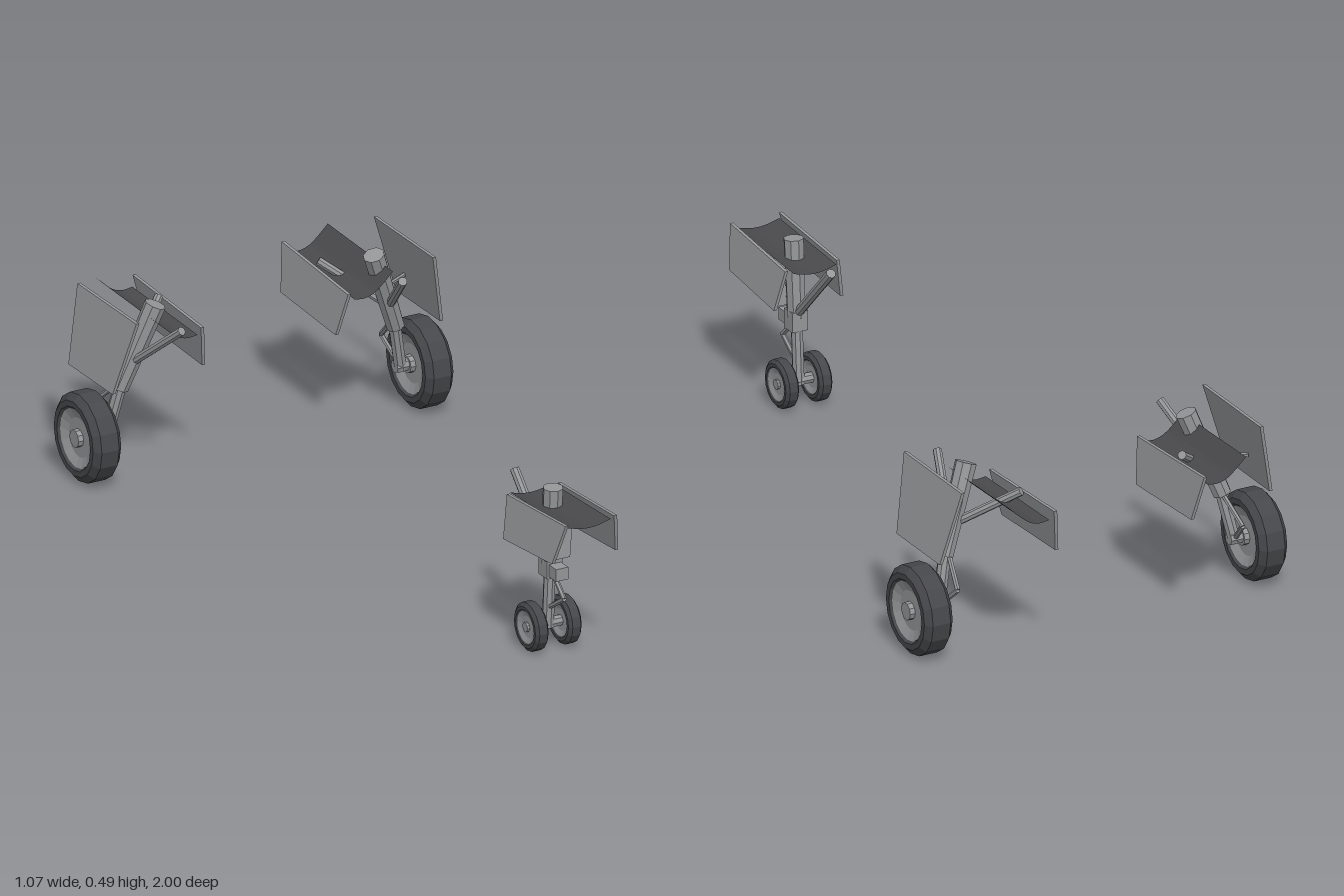
import * as THREE from 'three';

const mat = (name, color, extra = {}) => {
  const m = new THREE.MeshStandardMaterial({ color, flatShading: true, ...extra });
  m.name = name;
  return m;
};

export function createModel() {
  const root = new THREE.Group();
  root.name = 'landingGear';
  const doorGrey = mat('door grey', 0x97999b, { side: THREE.DoubleSide });
  const metal = mat('strut metal', 0x949698);
  const rubber = mat('tyre rubber', 0x46474a);
  const bay = mat('bay panel dark grey', 0x4a4a4d, { side: THREE.DoubleSide });

  const add = (parent, name, geo, material) => {
    const m = new THREE.Mesh(geo, material);
    m.name = name;
    parent.add(m);
    return m;
  };

  // straight rod from a to b
  const rod = (parent, name, a, b, r, sides = 8, rTop = r) => {
    const p = new THREE.Vector3(...a), q = new THREE.Vector3(...b);
    const d = q.clone().sub(p);
    const m = add(parent, name, new THREE.CylinderGeometry(rTop, r, d.length(), sides), metal);
    m.position.copy(p).add(q).multiplyScalar(0.5);
    m.quaternion.setFromUnitVectors(new THREE.Vector3(0, 1, 0), d.normalize());
    return m;
  };

  // tyre, dished hub and axle cap, turned about x
  const wheel = (parent, x, y, z, r, w) => {
    const g = new THREE.Group();
    g.name = 'wheel';
    const h = w / 2;
    const turned = (pts) => new THREE.LatheGeometry(pts.map((p) => new THREE.Vector2(...p)), 16);
    add(g, 'tyre', turned([[r * 0.66, -h * 0.8], [r * 0.72, -h], [r * 0.85, -h], [r, -h * 0.62],
      [r, h * 0.62], [r * 0.85, h], [r * 0.72, h], [r * 0.66, h * 0.8]]), rubber);
    add(g, 'hub', turned([[0, -h * 0.6], [r * 0.45, -h * 0.6], [r * 0.67, -h * 0.85],
      [r * 0.67, h * 0.85], [r * 0.45, h * 0.6], [0, h * 0.6]]), metal);
    add(g, 'axleCap', new THREE.CylinderGeometry(r * 0.2, r * 0.2, w * 0.96, 10), metal);
    g.rotation.z = Math.PI / 2;
    g.position.set(x, y, z);
    parent.add(g);
  };

  // thin door: outline in [z, y], x leaning from xTop to xBottom
  const door = (parent, name, outline, xTop, xBottom, t = 0.009) => {
    const ys = outline.map((p) => p[1]);
    const hi = Math.max(...ys), lo = Math.min(...ys);
    const shape = new THREE.Shape(outline.map(([z, y]) => new THREE.Vector2(-z, y)));
    const geo = new THREE.ExtrudeGeometry(shape, { depth: t, bevelEnabled: false });
    geo.translate(0, 0, -t / 2);
    geo.rotateY(Math.PI / 2);
    const p = geo.attributes.position;
    for (let i = 0; i < p.count; i++) {
      const k = (hi - p.getY(i)) / (hi - lo);
      p.setX(i, p.getX(i) + xTop + (xBottom - xTop) * k);
    }
    geo.computeVertexNormals();
    add(parent, name, geo, doorGrey);
  };

  // curved bay skin: cross-section in [x, y], run along z with a rise
  const skin = (parent, section, z0, z1, rise) => {
    const curve = new THREE.SplineCurve(section.map((p) => new THREE.Vector2(...p)));
    const geo = new THREE.PlaneGeometry(1, 1, 10, 1);
    const p = geo.attributes.position;
    for (let i = 0; i < p.count; i++) {
      const v = p.getY(i) + 0.5;
      const c = curve.getPoint(p.getX(i) + 0.5);
      p.setXYZ(i, c.x, c.y + rise * v, z0 + (z1 - z0) * v);
    }
    geo.computeVertexNormals();
    add(parent, 'bayPanel', geo, bay);
  };

  // nose gear
  const nose = new THREE.Group();
  nose.name = 'noseGear';
  root.add(nose);
  rod(nose, 'strut', [0, 0.24, 0.785], [0, 0.455, 0.8], 0.025, 8, 0.027);
  rod(nose, 'piston', [0, 0.055, 0.773], [0, 0.25, 0.785], 0.016);
  rod(nose, 'axle', [-0.05, 0.065, 0.773], [0.05, 0.065, 0.773], 0.015);
  rod(nose, 'dragBrace', [0, 0.26, 0.77], [0, 0.432, 0.6], 0.013);
  rod(nose, 'upperTorqueLink', [0, 0.215, 0.8], [0, 0.163, 0.858], 0.007, 6);
  rod(nose, 'lowerTorqueLink', [0, 0.163, 0.858], [0, 0.115, 0.785], 0.007, 6);
  add(nose, 'collar', new THREE.BoxGeometry(0.046, 0.055, 0.046), metal).position.set(0, 0.232, 0.787);
  add(nose, 'steeringBox', new THREE.BoxGeometry(0.036, 0.034, 0.04), metal).position.set(0, 0.228, 0.828);
  const plate = new THREE.Shape([[-0.036, 0.262], [0.036, 0.262], [0.046, 0.4], [-0.046, 0.4]]
    .map((p) => new THREE.Vector2(...p)));
  add(nose, 'strutDoor', new THREE.ExtrudeGeometry(plate, { depth: 0.008, bevelEnabled: false }), doorGrey)
    .position.z = 0.818;
  skin(nose, [[-0.063, 0.411], [-0.03, 0.402], [0, 0.399], [0.03, 0.402], [0.063, 0.411]], 0.685, 0.99, 0.013);
  for (const s of [-1, 1]) {
    wheel(nose, s * 0.049, 0.066, 0.773, 0.066, 0.039);
    door(nose, s > 0 ? 'leftNoseDoor' : 'rightNoseDoor',
      [[1, 0.435], [0.7, 0.415], [0.72, 0.302], [0.967, 0.322]], s * 0.072, s * 0.098);
  }

  // main gear, one each side
  for (const s of [-1, 1]) {
    const main = new THREE.Group();
    main.name = s > 0 ? 'leftMainGear' : 'rightMainGear';
    root.add(main);
    const r = (name, a, b, ...rest) =>
      rod(main, name, [s * a[0], a[1], a[2]], [s * b[0], b[1], b[2]], ...rest);
    r('strut', [0.41, 0.245, -0.743], [0.324, 0.476, -0.705], 0.025, 8, 0.029);
    r('piston', [0.436, 0.112, -0.762], [0.405, 0.26, -0.741], 0.017);
    r('axle', [0.418, 0.122, -0.762], [0.48, 0.122, -0.762], 0.018);
    r('dragBrace', [0.378, 0.33, -0.71], [0.328, 0.455, -0.56], 0.012);
    r('sideBrace', [0.37, 0.325, -0.73], [0.237, 0.428, -0.842], 0.012);
    r('doorLink', [0.36, 0.363, -0.73], [0.462, 0.36, -0.79], 0.006, 6);
    r('upperTorqueLink', [0.405, 0.245, -0.765], [0.42, 0.185, -0.835], 0.007, 6);
    r('lowerTorqueLink', [0.42, 0.185, -0.835], [0.433, 0.13, -0.775], 0.007, 6);
    wheel(main, s * 0.493, 0.121, -0.762, 0.121, 0.083);
    door(main, 'outerDoor',
      [[-0.592, 0.487], [-0.9, 0.487], [-0.866, 0.283], [-0.636, 0.283]], s * 0.44, s * 0.486);
    door(main, 'innerDoor',
      [[-0.645, 0.41], [-0.997, 0.428], [-0.965, 0.302], [-0.675, 0.29]], s * 0.221, s * 0.198);
    const section = [[0.233, 0.393], [0.265, 0.39], [0.3, 0.404], [0.347, 0.447]];
    skin(main, section.map(([x, y]) => [s * x, y]), -0.645, -0.985, 0.008);
  }
  return root;
}
